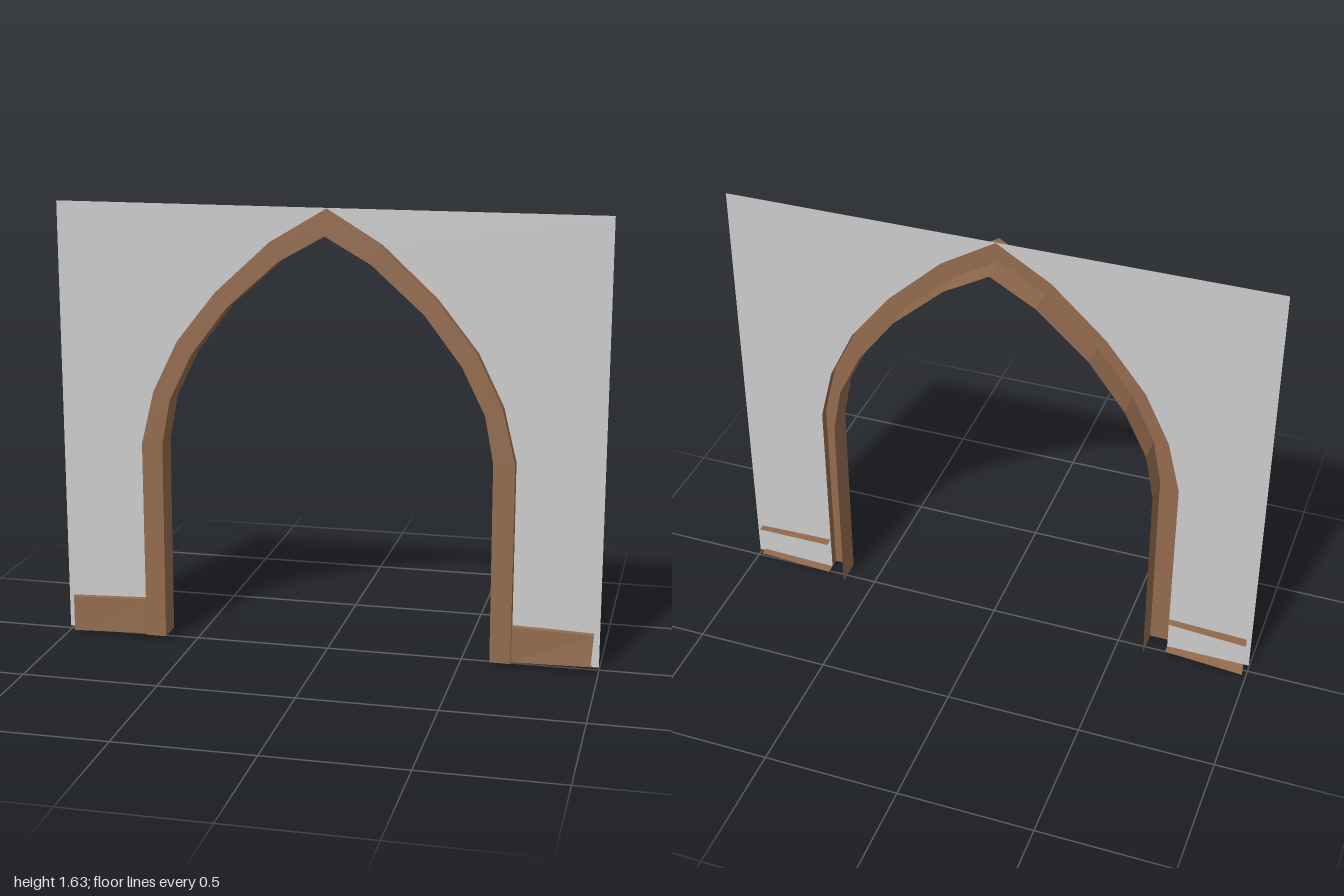
import * as THREE from 'three';

const wood = new THREE.MeshStandardMaterial({ color: 0x946b4e, flatShading: true, side: THREE.DoubleSide });
const plaster = new THREE.MeshStandardMaterial({ color: 0xcccccc, side: THREE.DoubleSide });

const FLOOR = 0.015, TOP = 1.634, WALL_Z = 0.015, FRONT_Z = 0.05, BACK_Z = -0.05;

// Right half of each arch line, from the floor to the apex
const outerHalf = [[0.686, FLOOR], [0.686, 0.756], [0.638, 0.953], [0.545, 1.143], [0.4, 1.326], [0.199, 1.512], [0, 1.632]];
const innerHalf = [[0.61, FLOOR], [0.608, 0.756], [0.576, 0.925], [0.491, 1.097], [0.357, 1.273], [0.166, 1.444], [0, 1.538]];

// Mirror a half line into a full arch running from +x to -x
const mirrored = (half) => [...half, ...half.slice(0, -1).reverse().map(([x, y]) => [-x, y])];

// Open sheet spanned between consecutive rails (each a list of [x, y, z])
function sheet(name, rails) {
  const n = rails[0].length;
  const index = [];
  for (let r = 0; r < rails.length - 1; r++) {
    for (let i = 0; i < n - 1; i++) {
      const a = r * n + i, b = a + 1, c = a + n, d = c + 1;
      index.push(a, b, c, b, d, c);
    }
  }
  let geometry = new THREE.BufferGeometry();
  geometry.setAttribute('position', new THREE.Float32BufferAttribute(rails.flat(2), 3));
  geometry.setIndex(index);
  geometry = geometry.toNonIndexed();
  geometry.computeVertexNormals();
  const mesh = new THREE.Mesh(geometry, wood);
  mesh.name = name;
  return mesh;
}

export function createModel() {
  const group = new THREE.Group();
  group.name = 'archedDoorway';
  const outer = mirrored(outerHalf), inner = mirrored(innerHalf);

  // Thin wall panel with the arch cut out of it
  const shape = new THREE.Shape();
  shape.moveTo(1, FLOOR).lineTo(1, TOP).lineTo(-1, TOP).lineTo(-1, FLOOR);
  [...outer].reverse().forEach(([x, y]) => shape.lineTo(x, y));
  shape.closePath();
  const wall = new THREE.Mesh(new THREE.ShapeGeometry(shape), plaster);
  wall.name = 'wall';
  wall.position.z = WALL_Z;
  group.add(wall);

  // Door trim: outer return, front face and deep inner reveal
  const at = (line, z) => line.map(([x, y]) => [x, y, z]);
  group.add(sheet('archTrim', [at(outer, WALL_Z), at(outer, FRONT_Z), at(inner, FRONT_Z), at(inner, BACK_Z)]));

  // Slightly crooked skirting boards: top strip, front face, bottom strip
  group.add(sheet('leftSkirting', [
    [[0.686, 0.152, -0.02], [0.978, 0.146, -0.015]],
    [[0.686, 0.15, 0.035], [0.98, 0.14, 0.035]],
    [[0.686, 0.016, 0.036], [0.972, 0.024, 0.042]],
    [[0.686, 0.014, -0.02], [0.98, 0.022, -0.014]],
  ]));
  group.add(sheet('rightSkirting', [
    [[-0.99, 0.144, -0.028], [-0.686, 0.153, -0.016]],
    [[-0.977, 0.139, 0.034], [-0.686, 0.15, 0.036]],
    [[-0.977, 0.005, 0.034], [-0.686, 0.016, 0.038]],
    [[-0.985, 0, -0.026], [-0.686, 0.014, -0.016]],
  ]));

  return group;
}
